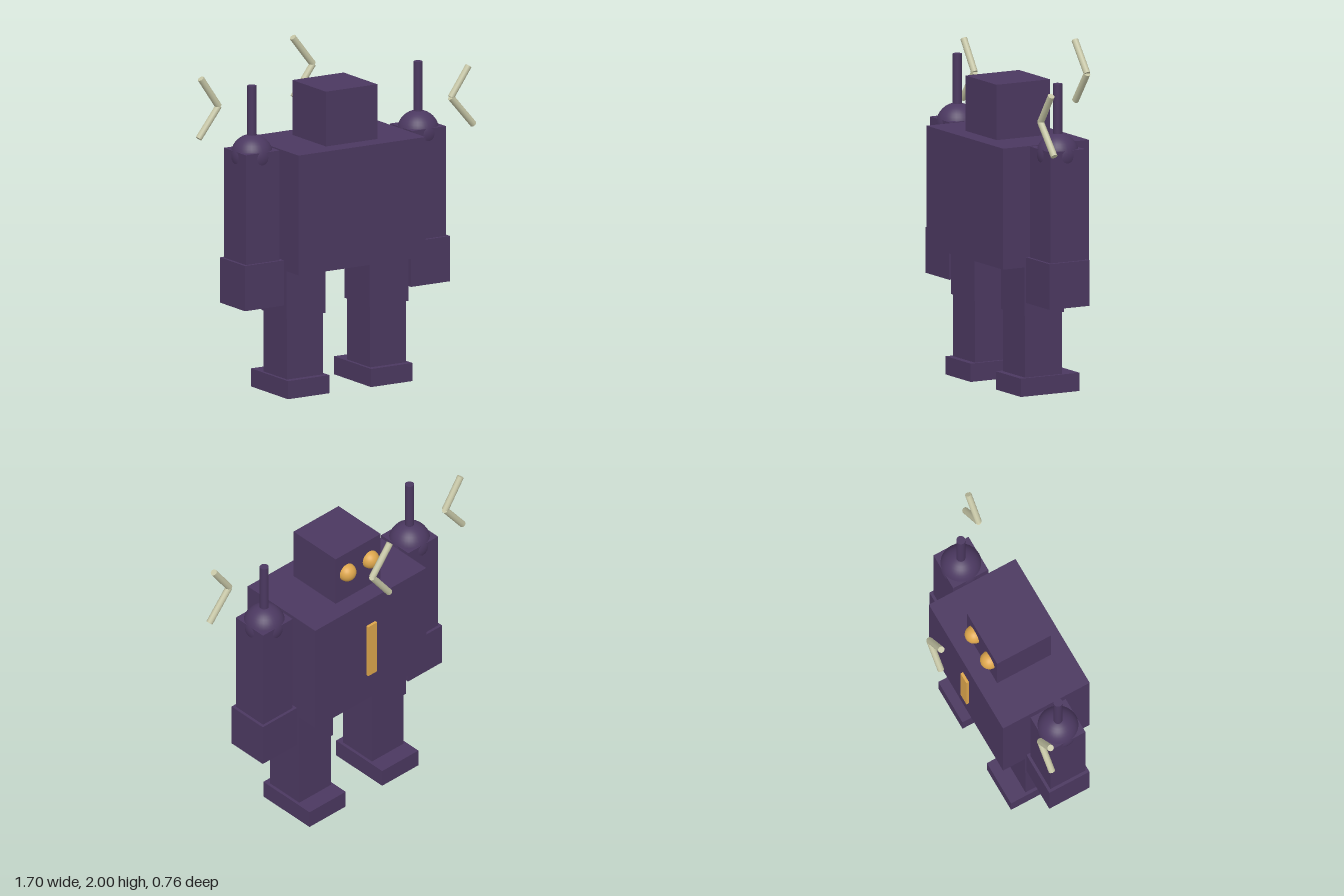
import * as THREE from 'three';

export function createModel() {
  const model = new THREE.Group();
  model.name = 'robot';

  const mat = (name, color) => {
    const m = new THREE.MeshStandardMaterial({ color });
    m.name = name;
    return m;
  };
  const purple = mat('dark purple', 0x4b3860);
  const gold = mat('gold', 0xdca54c);
  const bone = mat('pale bone', 0xc6c6a6);

  const add = (name, geometry, material, x, y, z, parent = model) => {
    const mesh = new THREE.Mesh(geometry, material);
    mesh.name = name;
    mesh.position.set(x, y, z);
    parent.add(mesh);
    return mesh;
  };
  // box given by its centre x, width, and y and z ranges
  const box = (name, material, x, w, y0, y1, z0, z1, parent) =>
    add(name, new THREE.BoxGeometry(w, y1 - y0, z1 - z0), material,
      x, (y0 + y1) / 2, (z0 + z1) / 2, parent);

  const cx = -0.011; // middle of the body
  const cz = 0.092;

  // body and head
  box('torso', purple, cx, 0.88, 0.765, 1.48, -0.198, 0.38);
  box('head', purple, cx, 0.356, 1.48, 1.807, -0.09, 0.27);

  // face and chest details on the -z side
  box('chestPlate', gold, cx, 0.07, 0.943, 1.303, -0.215, -0.19);
  for (const s of [-1, 1]) {
    add(s > 0 ? 'leftEye' : 'rightEye', new THREE.SphereGeometry(0.055, 32, 20), gold,
      cx + s * 0.091, 1.67, -0.093);
  }

  // limbs, mirrored about the middle of the body
  for (const s of [-1, 1]) {
    const side = s > 0 ? 'left' : 'right';
    const arm = new THREE.Group();
    arm.name = side + 'Arm';
    const ax = cx + s * 0.576;
    box('armBlock', purple, ax, 0.234, 0.825, 1.48, cz - 0.117, cz + 0.117, arm);
    box('hand', purple, ax, 0.27, 0.555, 0.825, cz - 0.134, cz + 0.134, arm);
    add('shoulderBall', new THREE.SphereGeometry(0.124, 32, 20), purple, ax, 1.445, cz, arm);
    add('shoulderSpike', new THREE.CylinderGeometry(0.027, 0.027, 0.36, 12), purple, ax, 1.68, cz, arm);

    const leg = new THREE.Group();
    leg.name = side + 'Leg';
    const lx = cx + s * 0.288;
    box('thigh', purple, lx, 0.27, 0.475, 0.765, cz - 0.134, cz + 0.134, leg);
    box('shin', purple, lx, 0.25, 0.108, 0.475, cz - 0.125, cz + 0.125, leg);
    box('foot', purple, lx, 0.287, 0, 0.108, -0.14, 0.255, leg);
    model.add(arm, leg);
  }

  // floating bent rods, each two straight cylinders in a plane of constant z
  const up = new THREE.Vector3(0, 1, 0);
  const bentRod = (name, z, points) => {
    const rod = new THREE.Group();
    rod.name = name;
    const p = points.map(([x, y]) => new THREE.Vector3(x, y, z));
    for (let i = 0; i < 2; i++) {
      const dir = p[i + 1].clone().sub(p[i]);
      const mid = p[i].clone().add(p[i + 1]).multiplyScalar(0.5);
      const seg = add(i ? 'lowerRod' : 'upperRod',
        new THREE.CylinderGeometry(0.02, 0.02, dir.length(), 10), bone, mid.x, mid.y, mid.z, rod);
      seg.quaternion.setFromUnitVectors(up, dir.normalize().negate());
    }
    model.add(rod);
  };
  bentRod('rightBentRod', -0.09, [[-0.823, 1.895], [-0.7, 1.715], [-0.838, 1.538]]);
  bentRod('leftBentRod', 0.272, [[0.798, 1.838], [0.676, 1.665], [0.832, 1.485]]);
  bentRod('rearBentRod', -0.362, [[-0.01, 1.987], [0.13, 1.81], [-0.005, 1.63]]);

  return model;
}
